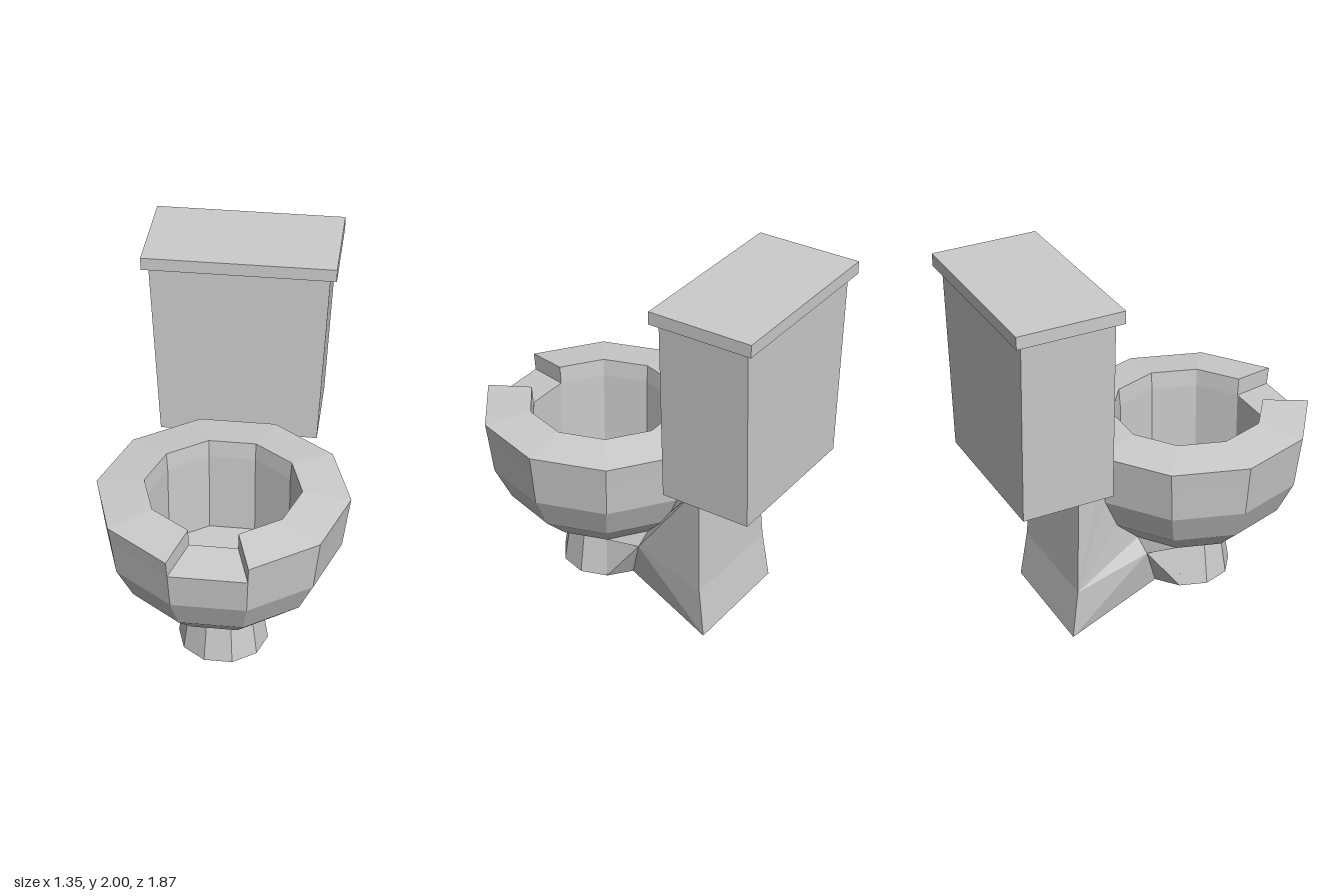
import * as THREE from 'three';

const SIDES = 10;
const BOWL_Z = 0.29;
const WEDGE = (Math.PI * 2) / SIDES; // one facet, also the width of the front gap

export function createModel() {
  const group = new THREE.Group();
  const solid = new THREE.MeshStandardMaterial({ color: 0xcccccc, flatShading: true });
  const open = new THREE.MeshStandardMaterial({ color: 0xcccccc, flatShading: true, side: THREE.DoubleSide });

  const add = (name, geometry, x, y, z, material = solid) => {
    const mesh = new THREE.Mesh(geometry, material);
    mesh.name = name;
    mesh.position.set(x, y, z);
    group.add(mesh);
    return mesh;
  };
  const points = (list) => list.map(([r, y]) => new THREE.Vector2(r, y));
  // Faceted turning with corners either side of the front centre line
  const turn = (name, profile, facets = SIDES, start = WEDGE / 2) =>
    add(name, new THREE.LatheGeometry(points(profile), facets, start, facets * WEDGE), 0, 0, BOWL_Z, open);

  // Bowl shell up to the height of the front gap
  turn('bowl', [[0, 0.27], [0.21, 0.27], [0.39, 0.36], [0.546, 0.51], [0.638, 0.7], [0.664, 0.905]]);

  // Raised rim, open at the front, with a flat end on each side of the gap
  const rim = [[0.664, 0.905], [0.677, 1.0], [0.42, 1.03], [0.412, 0.93]];
  turn('rim', rim, SIDES - 1);
  for (const side of [-1, 1]) {
    const end = add('rimEnd', new THREE.ShapeGeometry(new THREE.Shape(points(rim))), 0, 0, BOWL_Z, open);
    end.rotation.y = (side * WEDGE) / 2 - Math.PI / 2;
  }

  // Floor of the gap and the straight-walled basin
  turn('gapFloor', [[0.664, 0.905], [0.412, 0.93]], 1, -WEDGE / 2);
  turn('basin', [[0.412, 0.93], [0.412, 0.45], [0, 0.45]]);

  // Foot under the bowl
  const foot = new THREE.CylinderGeometry(0.21, 0.25, 0.26, SIDES);
  foot.rotateY(WEDGE / 2);
  add('foot', foot, 0, 0.14, BOWL_Z);

  add('rearSupport', rearSupport(), 0, 0, 0);

  // Tank, narrowing slightly towards its base
  const tank = new THREE.BoxGeometry(0.97, 1.03, 0.51);
  const pos = tank.attributes.position;
  for (let i = 0; i < pos.count; i++) {
    if (pos.getY(i) < 0) pos.setX(i, pos.getX(i) * 0.905);
  }
  add('tank', tank, 0, 1.415, -0.645);
  add('tankLid', new THREE.BoxGeometry(1.04, 0.07, 0.585), 0, 1.965, -0.645);

  return group;
}

// Flared block joining foot, bowl and tank: one half listed, the other mirrored
function rearSupport() {
  const p = {
    footLow: [0.202, 0.01, 0.143], footHigh: [0.17, 0.27, 0.167],
    neckLow: [0.077, 0.005, 0.052], neckHigh: [0.17, 0.27, -0.05],
    backLow: [0.34, 0, -0.59], backMid: [0.325, 0.27, -0.55], backTop: [0.28, 0.9, -0.51],
    bowlSide: [0.316, 0.36, 0.06],
    bowl1: [0.12, 0.36, -0.08], bowl2: [0.168, 0.51, -0.228],
    bowl3: [0.197, 0.7, -0.316], bowl4: [0.205, 0.9, -0.341],
  };
  const flip = ([x, y, z]) => [-x, y, z];
  const out = [];
  const fan = (...c) => {
    for (let i = 1; i < c.length - 1; i++) out.push(...c[0], ...c[i], ...c[i + 1]);
  };
  const both = (...c) => {
    fan(...c);
    fan(...c.map(flip).reverse());
  };
  const across = (a, b) => fan(a, flip(a), flip(b), b);

  // Lower flare
  both(p.footLow, p.neckHigh, p.footHigh);
  both(p.footLow, p.neckLow, p.neckHigh);
  both(p.neckLow, p.backLow, p.neckHigh);
  both(p.backLow, p.backMid, p.neckHigh);
  // Underside of the bowl
  both(p.footHigh, p.neckHigh, p.bowlSide);
  both(p.neckHigh, p.bowl1, p.bowlSide);
  // Upper sides following the bowl
  both(p.backTop, p.bowl4, p.bowl3, p.bowl2, p.bowl1, p.neckHigh, p.backMid);
  // Base, back and top
  across(p.neckLow, p.backLow);
  across(p.backLow, p.backMid);
  across(p.backMid, p.backTop);
  across(p.backTop, p.bowl4);

  const geometry = new THREE.BufferGeometry();
  geometry.setAttribute('position', new THREE.Float32BufferAttribute(out, 3));
  geometry.computeVertexNormals();
  return geometry;
}
